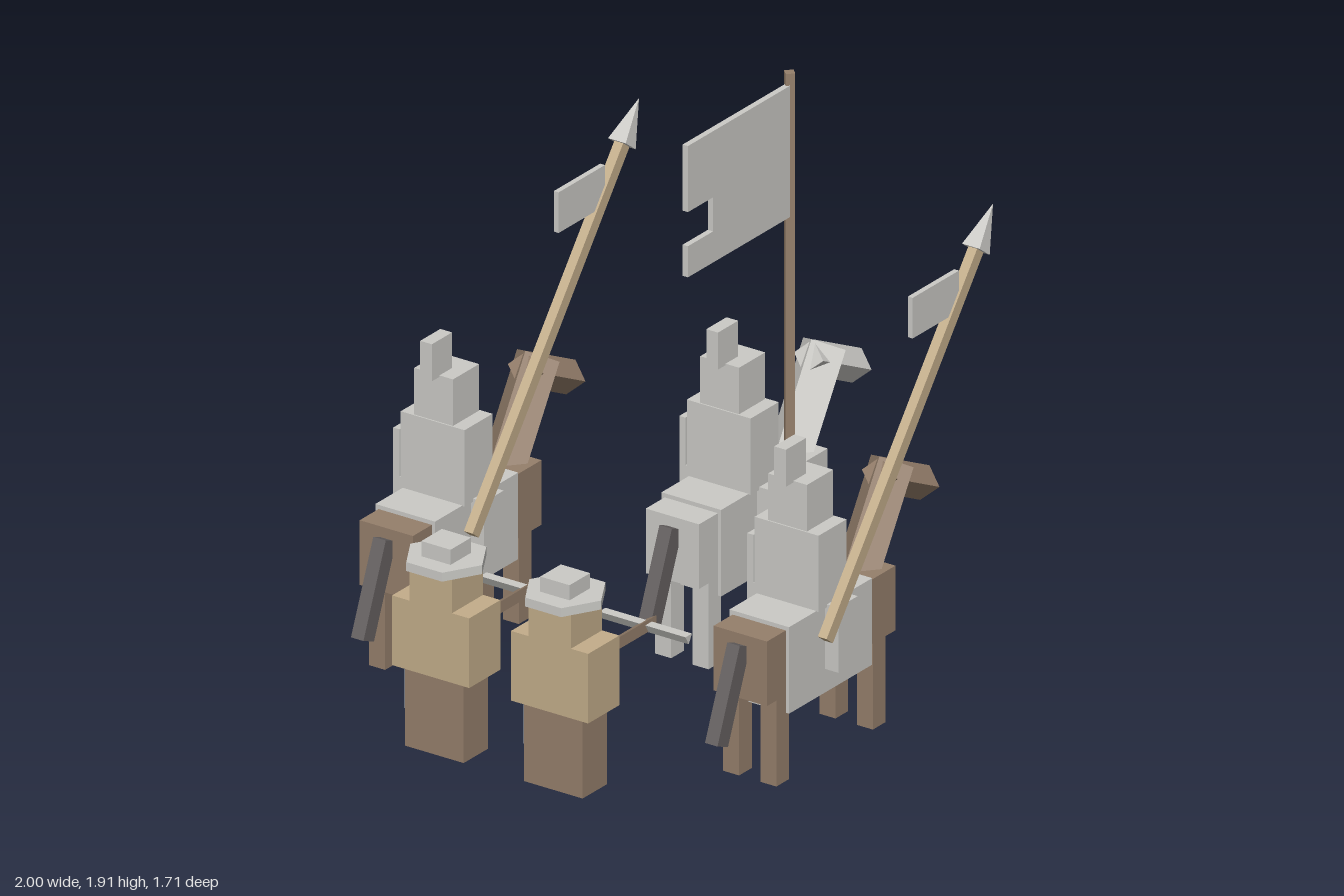
import * as THREE from 'three';

const mat = (name, color) => {
  const m = new THREE.MeshStandardMaterial({ color });
  m.name = name;
  return m;
};

export function createModel() {
  const steel = mat('light steel', 0xcbcac6);
  const brown = mat('brown', 0x957f6b);
  const tan = mat('tan', 0xc3ad8a);
  const dark = mat('dark grey', 0x666161);

  const add = (parent, name, geo, material) => {
    const flat = geo.index ? geo.toNonIndexed() : geo;
    flat.computeVertexNormals();
    const mesh = new THREE.Mesh(flat, material);
    mesh.name = name;
    parent.add(mesh);
    return mesh;
  };

  // Box given by its limits on each axis
  const box = (parent, name, material, x0, x1, y0, y1, z0, z1) => {
    const mesh = add(parent, name, new THREE.BoxGeometry(x1 - x0, y1 - y0, z1 - z0), material);
    mesh.position.set((x0 + x1) / 2, (y0 + y1) / 2, (z0 + z1) / 2);
    return mesh;
  };

  // Put an upright geometry of length |ab| between two points of a plane at z
  const span = (parent, name, material, a, b, z, makeGeo) => {
    const dx = b[0] - a[0], dy = b[1] - a[1];
    const mesh = add(parent, name, makeGeo(Math.hypot(dx, dy)), material);
    mesh.position.set((a[0] + b[0]) / 2, (a[1] + b[1]) / 2, z);
    mesh.rotation.z = Math.atan2(-dx, dy);
    return mesh;
  };
  const diamond = r => h => new THREE.CylinderGeometry(r, r, h, 4);
  const bar = (w, d) => h => new THREE.BoxGeometry(w, h, d);

  // Horse with cloth cover
  function horse(coat) {
    const g = new THREE.Group();
    g.name = 'horse';
    box(g, 'body', coat, -0.58, 0.1, 0.29, 0.508, -0.1, 0.1);
    box(g, 'horseCover', steel, -0.48, -0.04, 0.23, 0.522, -0.112, 0.112);
    for (const x of [-0.53, -0.02])
      for (const z of [-0.1, 0.04]) box(g, 'leg', coat, x, x + 0.067, 0, 0.3, z, z + 0.06);
    span(g, 'neck', coat, [0.0, 0.417], [0.224, 0.788], 0, diamond(0.08));
    span(g, 'head', coat, [0.14, 0.776], [0.396, 0.65], 0, diamond(0.055));
    span(g, 'tail', dark, [-0.588, 0.475], [-0.706, 0.18], 0, bar(0.06, 0.047));
    return g;
  }

  // Armoured rider
  function rider() {
    const g = new THREE.Group();
    g.name = 'rider';
    box(g, 'torso', steel, -0.335, -0.187, 0.52, 0.778, -0.12, 0.12);
    box(g, 'helmet', steel, -0.33, -0.192, 0.778, 0.935, -0.073, 0.073);
    box(g, 'plume', steel, -0.37, -0.263, 0.93, 1.055, -0.022, 0.022);
    box(g, 'visorSlit', dark, -0.192, -0.184, 0.835, 0.86, -0.055, 0.055);
    for (const s of [-1, 1]) {
      const leg = box(g, 'riderLeg', steel, -0.29, -0.187, 0.31, 0.53, -0.025, 0.025);
      leg.position.z = s * 0.137;
    }
    box(g, 'shield', steel, -0.29, -0.1, 0.31, 0.69, -0.18, -0.157);
    return g;
  }

  // Slanted lance with point and pennon
  function lance() {
    const g = new THREE.Group();
    g.name = 'lance';
    const z = 0.166;
    span(g, 'shaft', tan, [-0.364, 0.45], [0.44, 1.477], z, bar(0.042, 0.033));
    span(g, 'lancePoint', steel, [0.432, 1.468], [0.523, 1.588], z,
      h => new THREE.ConeGeometry(0.047, h, 4).rotateY(Math.PI / 4));
    box(g, 'pennon', steel, 0.085, 0.33, 1.3, 1.437, z - 0.009, z + 0.009);
    return g;
  }

  // Notched flag on a tall pole
  function banner() {
    const g = new THREE.Group();
    g.name = 'banner';
    const z = 0.167;
    span(g, 'pole', brown, [0.382, 0.337], [0.382, 1.908], z, diamond(0.021));
    const shape = new THREE.Shape([
      [0.375, 1.425], [0.375, 1.868], [-0.17, 1.868], [-0.17, 1.645],
      [-0.037, 1.645], [-0.037, 1.53], [-0.17, 1.53], [-0.17, 1.425],
    ].map(p => new THREE.Vector2(...p)));
    const flag = add(g, 'flag', new THREE.ExtrudeGeometry(shape, { depth: 0.02, bevelEnabled: false }), steel);
    flag.position.z = z - 0.01;
    return g;
  }

  // Foot soldier with crossbow and standing shield
  function crossbowman() {
    const g = new THREE.Group();
    g.name = 'crossbowman';
    box(g, 'legs', brown, -0.945, -0.815, 0, 0.27, -0.11, 0.11);
    box(g, 'torso', tan, -0.965, -0.8, 0.27, 0.505, -0.145, 0.145);
    box(g, 'head', tan, -0.965, -0.8, 0.505, 0.622, -0.08, 0.08);
    const brim = add(g, 'hatBrim', new THREE.CylinderGeometry(0.135, 0.135, 0.03, 6), steel);
    brim.position.set(-0.882, 0.636, 0);
    box(g, 'hatCrown', steel, -0.937, -0.828, 0.64, 0.702, -0.055, 0.055);
    box(g, 'standingShield', steel, -0.8, -0.767, 0.045, 0.415, -0.215, -0.002);
    const stock = add(g, 'crossbowStock', new THREE.CylinderGeometry(0.023, 0.023, 0.31, 3).rotateY(Math.PI), brown);
    stock.rotation.z = -Math.PI / 2;
    stock.position.set(-0.66, 0.424, 0.064);
    const bow = add(g, 'crossbowBow', new THREE.CylinderGeometry(0.02, 0.02, 0.325, 3), steel);
    bow.rotation.x = Math.PI / 2;
    bow.position.set(-0.548, 0.422, 0.064);
    return g;
  }

  const model = new THREE.Group();
  model.name = 'mountedCompany';

  // Three horsemen: two lancers and a standard bearer
  for (const z of [-0.67, 0.66]) {
    const g = new THREE.Group();
    g.name = 'lancer';
    g.add(horse(brown), rider(), lance());
    g.position.z = z;
    model.add(g);
  }
  const bearer = new THREE.Group();
  bearer.name = 'standardBearer';
  bearer.add(horse(steel), rider());
  bearer.position.set(0.577, 0, -0.005);
  const standard = banner();
  standard.position.z = -0.005;
  model.add(bearer, standard);

  for (const z of [-0.23, 0.217]) {
    const man = crossbowman();
    man.position.z = z;
    model.add(man);
  }
  return model;
}
